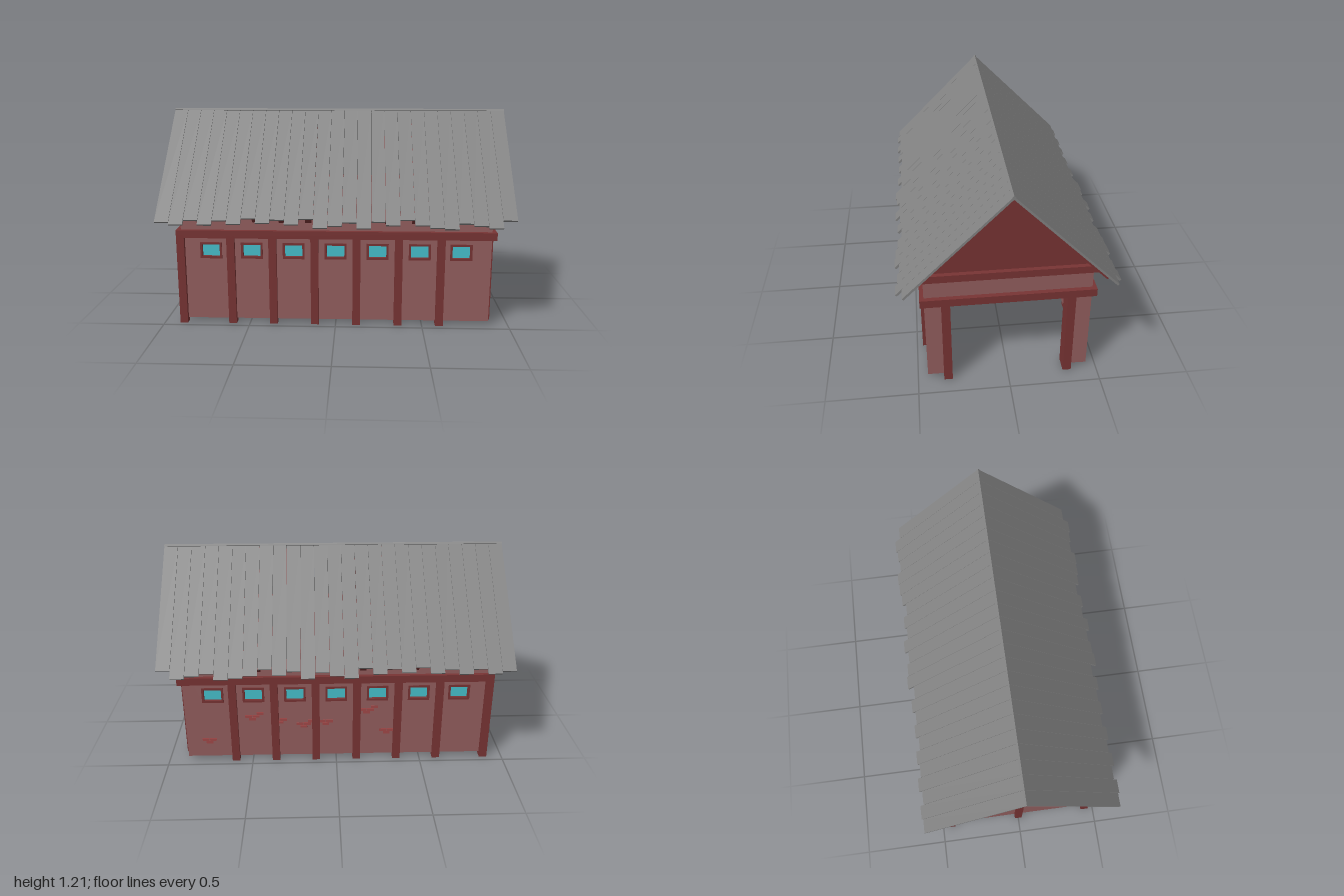
import * as THREE from 'three';

const mat = (color) => new THREE.MeshStandardMaterial({ color, flatShading: true });

export function createModel() {
  const model = new THREE.Group();
  const timber = mat(0x783434), wallMat = mat(0x935e5e), roofMat = mat(0x828282);
  const glass = mat(0x47c0cc), backing = mat(0x6a5252), brickMat = mat(0xa04848);

  const add = (name, geometry, material, parent = model) => {
    const mesh = new THREE.Mesh(geometry, material);
    mesh.name = name;
    parent.add(mesh);
    return mesh;
  };
  // Box given by its limits on each axis
  const block = (name, material, x0, x1, y0, y1, z0, z1, parent = model) => {
    const m = add(name, new THREE.BoxGeometry(x1 - x0, y1 - y0, z1 - z0), material, parent);
    m.position.set((x0 + x1) / 2, (y0 + y1) / 2, (z0 + z1) / 2);
    return m;
  };
  const rect = (C, cx, cy, w, h) => new C([
    new THREE.Vector2(cx - w / 2, cy - h / 2), new THREE.Vector2(cx + w / 2, cy - h / 2),
    new THREE.Vector2(cx + w / 2, cy + h / 2), new THREE.Vector2(cx - w / 2, cy + h / 2)]);
  const extrude = (shape, depth) => new THREE.ExtrudeGeometry(shape, { depth, bevelEnabled: false });

  // Long walls with windows and posts
  const windowX = [-0.715, -0.48, -0.24, 0, 0.24, 0.48, 0.715];
  const postX = [-0.6, -0.36, -0.12, 0.12, 0.36, 0.6];
  const winY = 0.438;
  for (const side of [1, -1]) {
    const wallGroup = new THREE.Group();
    wallGroup.name = side > 0 ? 'frontSide' : 'backSide';
    if (side < 0) wallGroup.rotation.y = Math.PI;
    model.add(wallGroup);

    const wall = rect(THREE.Shape, 0, 0.3475, 1.77, 0.645);
    for (const x of windowX) wall.holes.push(rect(THREE.Path, x, winY, 0.12, 0.09));
    add('longWall', extrude(wall, 0.025), wallMat, wallGroup).position.z = 0.42;

    for (const x of windowX) {
      const frame = rect(THREE.Shape, x, winY, 0.125, 0.095);
      frame.holes.push(rect(THREE.Path, x, winY, 0.1, 0.07));
      add('windowFrame', extrude(frame, 0.029), timber, wallGroup).position.z = 0.421;
      block('windowPane', glass, x - 0.052, x + 0.052, winY - 0.037, winY + 0.037, 0.424, 0.432, wallGroup);
      block('windowBacking', backing, x - 0.06, x + 0.06, winY - 0.045, winY + 0.045, 0.419, 0.424, wallGroup);
    }
    for (const x of [...postX, -0.8875 * side])
      block('wallPost', timber, x - 0.0225, x + 0.0225, 0, 0.53, 0.421, 0.467, wallGroup);
    block('sideBeam', timber, -0.91, 0.91, 0.515, 0.56, 0.421, 0.467, wallGroup);
    block('wallPlate', timber, -0.91, 0.91, 0.67, 0.712, 0.42, 0.465, wallGroup);
  }

  // Closed end and its middle post
  block('endWall', wallMat, -0.884, -0.86, 0.025, 0.67, -0.43, 0.43);
  block('endPost', timber, -0.91, -0.865, 0, 0.53, -0.0225, 0.0225);

  // Open end: short returns, lintel wall and door posts
  block('lintelWall', wallMat, 0.86, 0.884, 0.515, 0.67, -0.43, 0.43);
  for (const s of [1, -1]) {
    const z = 0.39 * s, p = 0.333 * s;
    block('doorReturn', wallMat, 0.86, 0.884, 0.025, 0.53, z - 0.045, z + 0.045);
    block('doorPost', timber, 0.82, 0.909, 0, 0.53, p - 0.0235, p + 0.0235);
  }

  // Sloped part hanging from the ridge down one side
  const sloped = (name, material, x, ridgeY, width, thick, reach, s) => {
    const length = reach * Math.SQRT2;
    const g = new THREE.BoxGeometry(width, thick, length).translate(0, -thick / 2, s * length / 2);
    const m = add(name, g, material);
    m.position.set(x, ridgeY, 0);
    m.rotation.x = s * Math.PI / 4;
  };

  // Gables
  for (const e of [1, -1]) {
    const x = 0.8875 * e;
    block('endBeam', timber, x - 0.0225, x + 0.0225, 0.515, 0.56, -0.466, 0.466);
    block('gableBeam', timber, x - 0.0225, x + 0.0225, 0.67, 0.712, -0.466, 0.466);
    const tri = new THREE.Shape([new THREE.Vector2(-0.46, 0.7), new THREE.Vector2(0.46, 0.7), new THREE.Vector2(0, 1.16)]);
    const gable = add('gablePanel', extrude(tri, 0.02), timber);
    gable.rotation.y = Math.PI / 2;
    gable.position.x = 0.875 * e - 0.01;
  }

  // Rafters and uneven roof planks
  const reach = [57, 58, 56, 58, 56, 57.5, 55, 57, 55.5, 57.5, 55, 59, 58,
    56.5, 59, 56, 57.5, 55, 57.5, 58.5, 59, 56.5, 57.5, 58.5, 55];
  for (const s of [1, -1]) {
    for (let i = 0; i < 13; i++) {
      const end = i === 0 || i === 12;
      sloped('rafter', timber, -0.8875 + i * 1.775 / 12, 1.188, end ? 0.045 : 0.035, 0.038, 0.54, s);
    }
    reach.forEach((r, i) =>
      sloped('roofPlank', roofMat, -0.96 + i * 0.08, 1.205, 0.0785, 0.012, r / 100, s));
  }
  const ridge = add('ridgeCap', new THREE.BoxGeometry(2, 0.014, 0.014), roofMat);
  ridge.position.y = 1.2;
  ridge.rotation.x = Math.PI / 4;

  // Exposed brick patches on the back wall
  const patches = [[0.75, 0.14], [0.49, 0.295], [0.33, 0.27], [0.19, 0.24], [0.06, 0.255], [-0.18, 0.33], [-0.3, 0.19]];
  patches.forEach(([px, py], k) => {
    const bricks = [[0, 0], [0.044, 0], [0.022, -0.018], [-0.024, 0.018]];
    for (const [dx, dy] of bricks.slice(0, 3 + (k % 2))) {
      const x = px + dx - 0.02, y = py + dy;
      block('brick', brickMat, x - 0.02, x + 0.02, y - 0.008, y + 0.008, -0.45, -0.44);
    }
  });

  return model;
}
